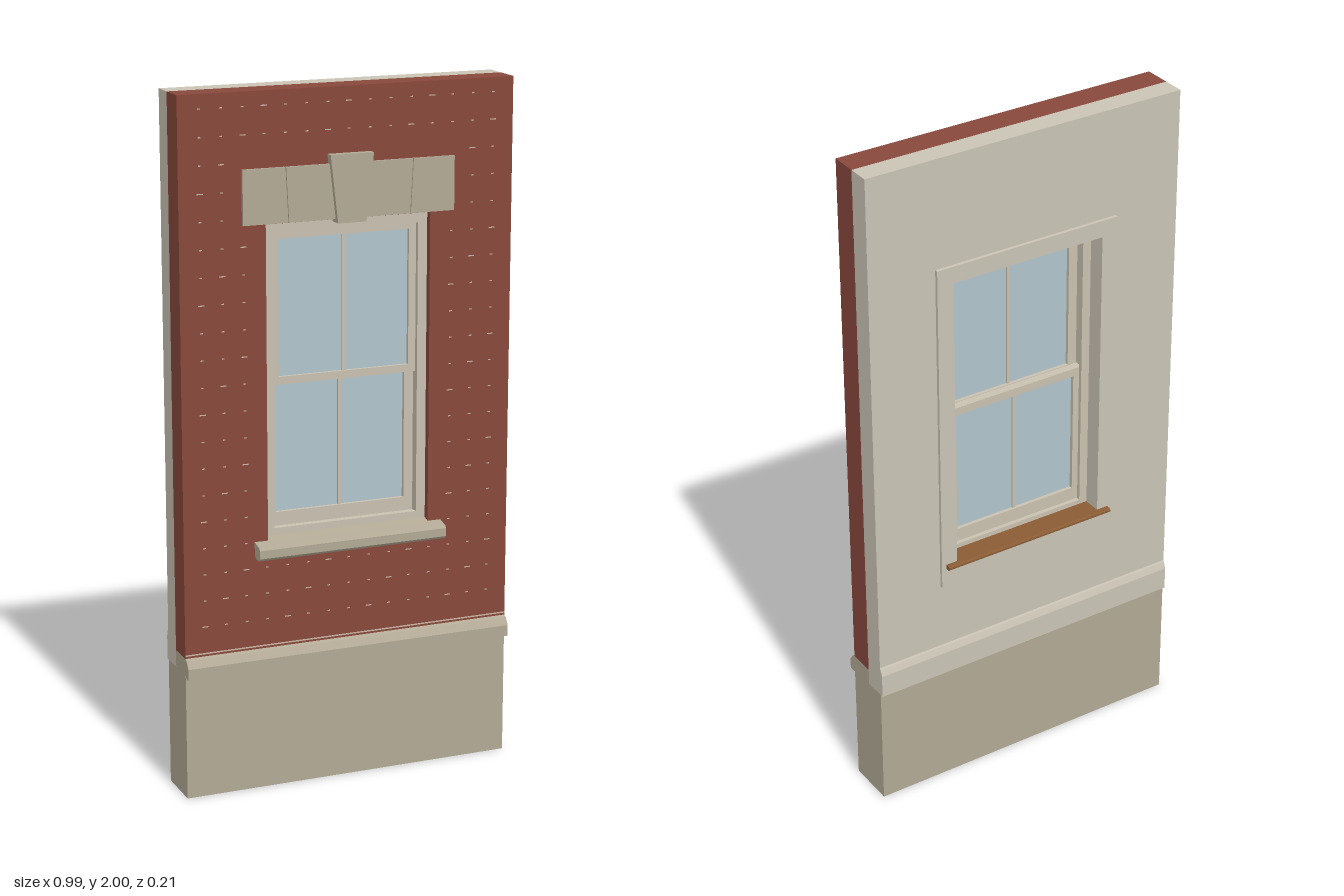
import * as THREE from 'three';
import { mergeGeometries } from 'three/addons/utils/BufferGeometryUtils.js';

const mat = (name, color, extra = {}) => {
  const m = new THREE.MeshStandardMaterial({ color, ...extra });
  m.name = name;
  return m;
};

export function createModel() {
  const brick = mat('brick', 0x88483c);
  const stone = mat('stone', 0xb2a995);
  const plaster = mat('plaster', 0xcac4b5);
  const trim = mat('paintedTrim', 0xc9c1b0);
  const glass = mat('glass', 0xb1c4cc);
  const wood = mat('wood', 0x8a5c34);
  const mortar = mat('mortar', 0xc9b8a8);

  const model = new THREE.Group();
  model.name = 'wallWithWindow';
  const W = 0.99;

  const add = (name, geo, material, parent = model) => {
    const mesh = new THREE.Mesh(geo, material);
    mesh.name = name;
    parent.add(mesh);
    return mesh;
  };
  // Box given by its limits on each axis
  const box = (x0, x1, y0, y1, z0, z1) =>
    new THREE.BoxGeometry(x1 - x0, y1 - y0, z1 - z0)
      .translate((x0 + x1) / 2, (y0 + y1) / 2, (z0 + z1) / 2);
  const poly = (pts) => new THREE.Shape(pts.map(([x, y]) => new THREE.Vector2(x, y)));
  // Flat outline in x, y given thickness from z0 to z1
  const slab = (shape, z0, z1) =>
    new THREE.ExtrudeGeometry(shape, { depth: z1 - z0, bevelEnabled: false }).translate(0, 0, z0);
  // Rectangle with a rectangular opening; each is half width, bottom, top
  const rect = (h, y0, y1) => [[-h, y0], [h, y0], [h, y1], [-h, y1]];
  const ring = (outer, inner, z0, z1) => {
    const s = poly(rect(...outer));
    s.holes.push(poly(rect(...inner)));
    return slab(s, z0, z1);
  };
  // Moulding with a z, y profile running along x
  const moulding = (pts, width) =>
    new THREE.ExtrudeGeometry(poly(pts), { depth: width, bevelEnabled: false })
      .rotateY(-Math.PI / 2).translate(width / 2, 0, 0);

  // Wall layers
  add('brickWall', ring([W / 2, 0.42, 2], [0.245, 0.735, 1.635], -0.015, 0.065), brick);
  add('plasterWall', ring([W / 2, 0.37, 2], [0.24, 0.725, 1.63], -0.08, -0.015), plaster);
  add('stoneBase', box(-W / 2, W / 2, 0, 0.37, -0.08, 0.065), stone);
  add('waterTable', moulding([
    [-0.015, 0.37], [0.065, 0.37], [0.07, 0.362], [0.089, 0.362], [0.089, 0.395],
    [0.075, 0.415], [0.065, 0.42], [-0.015, 0.42]], W), stone);
  add('baseboard', moulding([
    [-0.08, 0.37], [-0.08, 0.465], [-0.083, 0.46], [-0.09, 0.44], [-0.09, 0.37]], W), plaster);

  // Flecks of mortar in the brick courses
  const flecks = [box(-W / 2, W / 2, 0.426, 0.43, 0.06, 0.0655)];
  for (let row = 0; row < 20; row++) {
    const y = 0.505 + row * 0.0765;
    for (let col = 0; col < 15; col++) {
      const x = -0.434 + col * 0.062;
      const behindWindow = Math.abs(x) < 0.26 && y > 0.68 && y < 1.65;
      const behindLintel = Math.abs(x) < 0.33 && y > 1.62 && y < 1.83;
      if (behindWindow || behindLintel) continue;
      const w = (row * 7 + col * 5) % 4 === 0 ? 0.009 : 0.004;
      flecks.push(box(x - w, x + w, y, y + 0.003, 0.06, 0.0655));
    }
  }
  add('mortarFlecks', mergeGeometries(flecks), mortar);

  // Flat stone lintel with splayed joints and a keystone
  const lintel = new THREE.Group();
  lintel.name = 'lintel';
  model.add(lintel);
  for (const s of [-1, 1]) {
    const block = (b0, b1, t0, t1) => {
      const pts = [[b0, 1.637], [b1, 1.637], [t1, 1.79], [t0, 1.79]].map(([x, y]) => [s * x, y]);
      return slab(poly(pts), 0.05, 0.074);
    };
    add('innerLintelBlock', block(0.03, 0.18, 0.05, 0.188), stone, lintel);
    add('outerLintelBlock', block(0.182, 0.314, 0.19, 0.314), stone, lintel);
  }
  add('keystone', slab(poly([[-0.042, 1.627], [0.042, 1.627], [0.064, 1.817], [-0.064, 1.817]]),
    0.05, 0.089), stone, lintel);

  // Outside stone sill with sloping top and drip
  add('stoneSill', moulding([
    [0.0, 0.7], [0.065, 0.7], [0.075, 0.69], [0.098, 0.69], [0.106, 0.698],
    [0.106, 0.722], [0.1, 0.729], [0.065, 0.737], [0.04, 0.745], [0.0, 0.745]], 0.57), stone);

  // Window frame and its linings
  const win = new THREE.Group();
  win.name = 'window';
  model.add(win);
  add('outerFrame', ring([0.246, 0.74, 1.636], [0.217, 0.764, 1.604], 0.032, 0.045), trim, win);
  add('frame', ring([0.246, 0.735, 1.636], [0.224, 0.757, 1.61], -0.025, 0.032), trim, win);
  add('innerStop', ring([0.241, 0.73, 1.631], [0.214, 0.757, 1.6], -0.036, -0.025), trim, win);

  // Double-hung sashes, the lower one nearer the room
  const sash = (name, y0, y1, bottom, top, z0, z1) => {
    const g = new THREE.Group();
    g.name = name;
    win.add(g);
    const zm = (z0 + z1) / 2;
    add('sashFrame', ring([0.224, y0, y1], [0.196, y0 + bottom, y1 - top], z0, z1), trim, g);
    add('glazingBar', box(-0.005, 0.005, y0 + bottom, y1 - top, zm - 0.007, zm + 0.007), trim, g);
    add('pane', box(-0.197, 0.197, y0 + bottom, y1 - top, zm - 0.002, zm + 0.002), glass, g);
  };
  sash('upperSash', 1.174, 1.61, 0.022, 0.025, 0.006, 0.03);
  sash('lowerSash', 0.757, 1.196, 0.04, 0.024, -0.023, 0.003);

  // Room-side casing, apron and wooden stool
  add('casing', ring([0.29, 0.67, 1.68], [0.24, 0.73, 1.63], -0.09, -0.08), plaster);
  add('woodStool', moulding([
    [-0.025, 0.729], [-0.025, 0.743], [-0.102, 0.743], [-0.107, 0.739],
    [-0.107, 0.733], [-0.102, 0.729]], 0.478), wood);
  add('stoolNosing', moulding([
    [-0.09, 0.729], [-0.09, 0.743], [-0.102, 0.743], [-0.107, 0.739],
    [-0.107, 0.733], [-0.102, 0.729]], 0.55), wood);

  return model;
}
